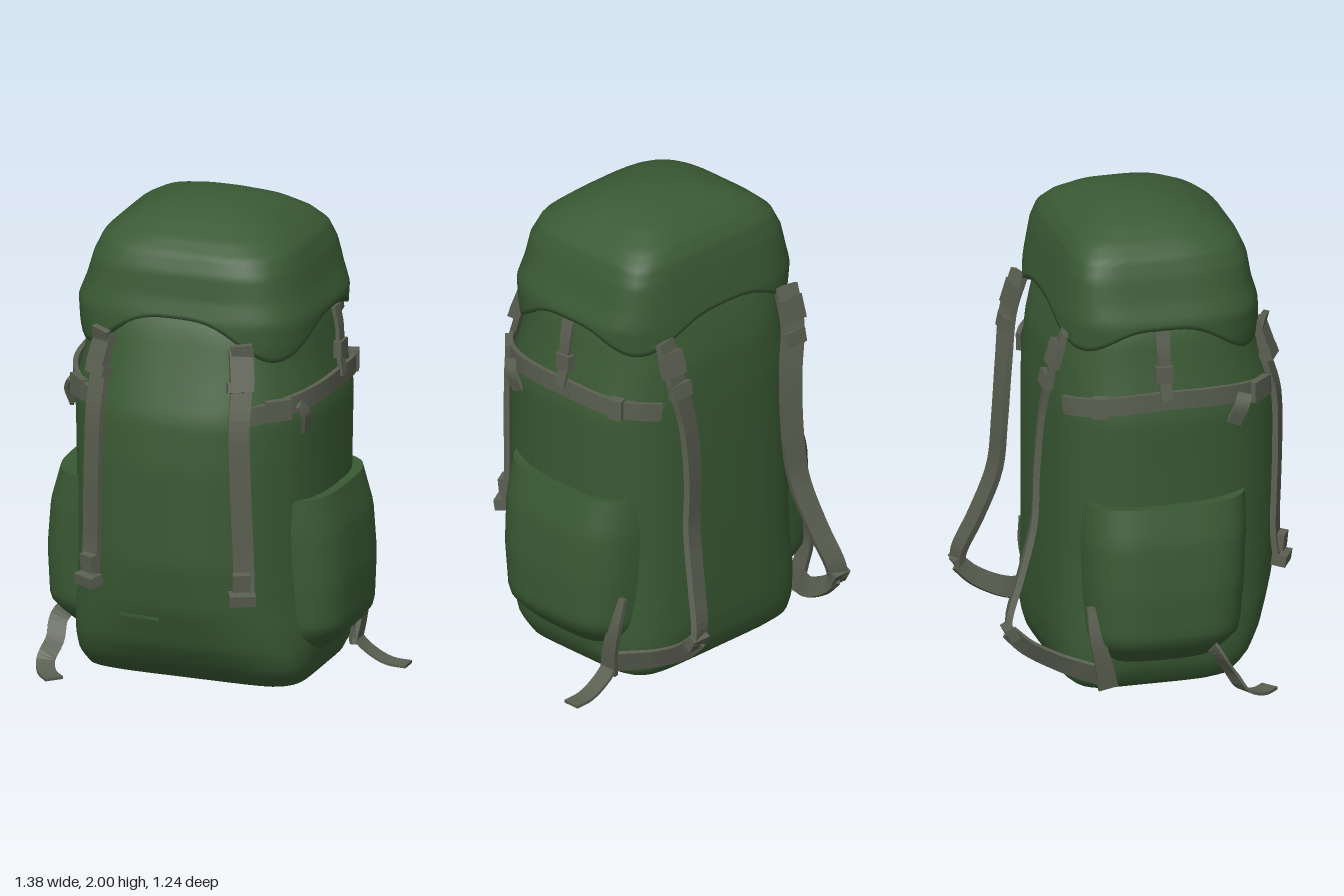
import * as THREE from 'three';

const V = (x, y, z) => new THREE.Vector3(x, y, z);
const CX = -0.04; // the pack sits slightly off the centre line

// Rows: y, half width, front depth, back depth, front squareness, back squareness
const BODY = [
  [0.02, 0.385, 0.24, 0.3, 7, 7],
  [0.05, 0.455, 0.335, 0.345, 6.5, 6],
  [0.12, 0.495, 0.41, 0.37, 5, 4.6],
  [0.22, 0.515, 0.48, 0.383, 3.6, 3.8],
  [0.4, 0.52, 0.55, 0.388, 2.7, 3.2],
  [0.6, 0.525, 0.587, 0.39, 2.4, 3],
  [1.0, 0.53, 0.59, 0.39, 2.4, 3],
  [1.2, 0.535, 0.57, 0.388, 2.5, 3],
  [1.4, 0.49, 0.495, 0.378, 2.7, 3],
  [1.55, 0.46, 0.44, 0.34, 3, 3.4],
  [1.65, 0.4, 0.38, 0.3, 3, 3.4],
];
const LID = [
  [1.4, 0.492, 0.48, 0.382, 3.1, 3.2],
  [1.5, 0.502, 0.482, 0.38, 3.3, 3.4],
  [1.6, 0.503, 0.473, 0.37, 3.6, 3.9],
  [1.68, 0.47, 0.448, 0.355, 3.8, 4.6],
  [1.78, 0.44, 0.432, 0.335, 3.9, 5.4],
  [1.85, 0.41, 0.4, 0.315, 3.8, 5.2],
  [1.9, 0.355, 0.34, 0.28, 3.5, 4.6],
  [1.95, 0.275, 0.25, 0.21, 3, 3.8],
  [1.98, 0.18, 0.16, 0.14, 2.6, 3],
  [1.995, 0.09, 0.08, 0.07, 2.2, 2.4],
  [2.0, 0.001, 0.001, 0.001, 2, 2],
];
const POCKET = [
  [0.18, 0.23, 0.25, 0.24, 3.4, 3],
  [0.23, 0.29, 0.29, 0.28, 3.6, 3.2],
  [0.29, 0.335, 0.33, 0.3, 4, 3.4],
  [0.5, 0.342, 0.348, 0.31, 4, 3.4],
  [0.7, 0.325, 0.362, 0.315, 3.8, 3.4],
  [0.85, 0.285, 0.368, 0.305, 3.4, 3.2],
];

function sample(table, y) {
  let i = 0;
  while (i < table.length - 2 && y > table[i + 1][0]) i++;
  const a = table[i], b = table[i + 1];
  const t = THREE.MathUtils.clamp((y - a[0]) / (b[0] - a[0]), 0, 1);
  return a.map((v, k) => v + (b[k] - v) * t);
}

// Point on a rounded-square cross-section, angle 0 = +x, 90 degrees = front
function surface(table, a, y, out = 0, cx = CX) {
  const [, hx, zf, zb, nf, nb] = sample(table, y);
  const c = Math.cos(a), s = Math.sin(a), n = s > 0 ? nf : nb;
  const r = (Math.abs(c) ** n + Math.abs(s) ** n) ** (-1 / n);
  return V(cx + (hx + out) * c * r, y, ((s > 0 ? zf : zb) + out) * s * r);
}
const frontZ = (x, y) => {
  const [, hx, zf, , n] = sample(BODY, y);
  return zf * (1 - Math.abs((x - CX) / hx) ** n) ** (1 / n);
};

// Closed rings joined upwards, with optional separate end caps
function loft(rows, N, pointAt, capBottom, capTop) {
  const pos = [], idx = [];
  for (let j = 0; j <= rows; j++)
    for (let i = 0; i < N; i++) pos.push(...pointAt((i / N) * Math.PI * 2, j / rows).toArray());
  for (let j = 0; j < rows; j++)
    for (let i = 0; i < N; i++) {
      const k = (i + 1) % N, a = j * N + i, b = j * N + k;
      idx.push(a, a + N, b, b, a + N, b + N);
    }
  for (const [centre, v] of [[capBottom, 0], [capTop, 1]]) {
    if (!centre) continue;
    const o = pos.length / 3;
    pos.push(...centre.toArray());
    for (let i = 0; i < N; i++) pos.push(...pointAt((i / N) * Math.PI * 2, v).toArray());
    for (let i = 0; i < N; i++) {
      const p = o + 1 + i, q = o + 1 + ((i + 1) % N);
      idx.push(...(v ? [o, q, p] : [o, p, q]));
    }
  }
  const g = new THREE.BufferGeometry();
  g.setAttribute('position', new THREE.Float32BufferAttribute(pos, 3));
  g.setIndex(idx);
  g.computeVertexNormals();
  return g;
}

// Flat webbing swept along a curve; "across" is the direction of its width
function webbing(points, across, w, t = 0.016, w2 = w) {
  const curve = new THREE.CatmullRomCurve3(points), n = points.length * 4;
  const pos = [], idx = [];
  for (let i = 0; i <= n; i++) {
    const u = i / n, p = curve.getPoint(u), T = curve.getTangent(u);
    const N = T.clone().cross(across).normalize(), W = N.clone().cross(T);
    const hw = (w + (w2 - w) * u) / 2;
    for (const [a, b] of [[1, -1], [1, 1], [-1, 1], [-1, -1]])
      pos.push(...p.clone().addScaledVector(W, a * hw).addScaledVector(N, b * t / 2).toArray());
  }
  for (let i = 0; i < n; i++)
    for (let k = 0; k < 4; k++) {
      const a = i * 4 + k, b = i * 4 + ((k + 1) % 4);
      idx.push(a, b, a + 4, b, b + 4, a + 4);
    }
  const e = n * 4;
  idx.push(0, 2, 1, 0, 3, 2, e, e + 1, e + 2, e, e + 2, e + 3);
  const g = new THREE.BufferGeometry();
  g.setAttribute('position', new THREE.Float32BufferAttribute(pos, 3));
  g.setIndex(idx);
  const flat = g.toNonIndexed();
  flat.computeVertexNormals();
  return flat;
}

export function createModel() {
  const group = new THREE.Group();
  const fabric = new THREE.MeshStandardMaterial({ color: 0x3a5a34 });
  fabric.name = 'greenFabric';
  const strapMat = new THREE.MeshStandardMaterial({ color: 0x5b5f51 });
  strapMat.name = 'greyWebbing';
  const add = (name, geo, mat = strapMat) => {
    const m = new THREE.Mesh(geo, mat);
    m.name = name;
    group.add(m);
    return m;
  };
  const buckle = (name, size, p, rx = 0, ry = 0) => {
    const m = add(name, new THREE.BoxGeometry(...size));
    m.position.copy(p);
    m.rotation.set(rx, ry, 0, 'YXZ');
  };

  // Main sack
  add('body', loft(48, 80, (a, v) => surface(BODY, a, 0.02 + 1.63 * v ** 1.2),
    V(CX, 0, 0), V(CX, 1.65, 0)), fabric);

  // Lid with a rim that dips at the corners, more so in front, and tucks in underneath
  const rim = a => 1.605 - (Math.sin(a) > 0 ? 0.15 : 0.1) * Math.sin(2 * a) ** 4 - 0.03 * Math.cos(a) ** 2;
  add('lid', loft(40, 96, (a, v) => {
    const r = rim(a);
    if (v === 0) return surface(LID, a, r, -0.06).setY(r + 0.01);
    const f = Math.sin(((v - 0.025) / 0.975) * Math.PI / 2);
    return surface(LID, a, r + (2 - r) * f);
  }), fabric);

  for (const s of [1, -1]) {
    const side = s > 0 ? 'left' : 'right';
    const mx = x => (s > 0 ? x : -0.1 - x); // mirror about the straps' middle

    // Side pocket blending into the sack, with a sunken opening
    const px = -0.05 + s * 0.3;
    add(side + 'Pocket', loft(20, 64, (a, v) => surface(POCKET, a, 0.18 + 0.67 * v, 0, px),
      V(px, 0.17, 0), V(px, 0.8, 0)), fabric);

    // Front strap lying on the slanted front corner, with buckles at both ends
    const fx = y => mx(0.25 + (1.5 - y) * 0.03);
    const fp = (y, out) => V(fx(y), y, frontZ(fx(y), y) + out);
    const tilt = s * 0.5;
    add(side + 'FrontStrap', webbing([V(fx(1.53), 1.53, 0.478), fp(1.46, 0.045), fp(1.36, 0.03),
      ...[1.2, 1.0, 0.8, 0.62].map(y => fp(y, 0.02)), fp(0.47, 0.045)], V(1, 0, -tilt), 0.085, 0.024));
    buckle(side + 'TopFrontBuckle', [0.095, 0.14, 0.035], fp(1.44, 0.05), -0.35, tilt);
    buckle(side + 'TopFrontBar', [0.105, 0.04, 0.05], fp(1.36, 0.045), -0.35, tilt);
    buckle(side + 'LowerFrontBuckle', [0.105, 0.045, 0.06], fp(0.49, 0.055), 0.15, tilt);
    buckle(side + 'LowerFrontSlider', [0.07, 0.07, 0.035], fp(0.56, 0.05), 0.1, tilt);

    // Compression strap round the side
    const around = (t, out) => {
      const a = s > 0 ? t : Math.PI - t;
      return surface(BODY, a, 1.285 - 0.05 * t * t, out);
    };
    const band = [];
    for (let t = -0.95; t <= 1.12; t += 0.1) band.push(around(t, 0.014));
    add(side + 'CompressionStrap', webbing(band, V(0, 1, 0), 0.075, 0.02));
    buckle(side + 'CompressionBuckle', [0.11, 0.085, 0.03], around(0.76, 0.022), 0, s * 0.8);
    buckle(side + 'CompressionSlider', [0.04, 0.085, 0.06], around(-0.6, 0.018), 0, s * 0.3);
    const e = around(0.6, 0.03);
    add(side + 'CompressionTail', webbing([e, e.clone().add(V(s * 0.02, -0.05, -0.02)),
      e.clone().add(V(s * 0.01, -0.12, -0.05))], V(0, 0, 1), 0.06));

    // Short strap joining lid and compression strap
    add(side + 'LidSideStrap', webbing([V(CX + s * 0.508, 1.575, 0), V(CX + s * 0.525, 1.49, 0),
      V(CX + s * 0.53, 1.38, 0.005), V(CX + s * 0.545, 1.29, 0.01)], V(0, 0, 1), 0.06, 0.016, 0.045));
    buckle(side + 'LidSideBuckle', [0.035, 0.07, 0.07], V(CX + s * 0.53, 1.4, 0));

    // Shoulder strap: padded part, lower webbing and buckles
    add(side + 'ShoulderStrap', webbing([[0.29, 1.55, -0.36], [0.28, 1.4, -0.41], [0.24, 1.2, -0.44],
      [0.23, 0.95, -0.46], [0.25, 0.74, -0.475], [0.29, 0.53, -0.54], [0.33, 0.37, -0.6],
      [0.345, 0.3, -0.605]].map(([x, y, z]) => V(mx(x), y, z)), V(1, 0, s * -0.25), 0.1, 0.026, 0.08));
    add(side + 'LowerShoulderStrap', webbing([[0.345, 0.31, -0.605], [0.355, 0.24, -0.53],
      [0.38, 0.17, -0.4], [0.43, 0.14, -0.3], [0.47, 0.12, -0.22]].map(([x, y, z]) => V(mx(x), y, z)),
      V(s * 0.5, 0.8, 0.3), 0.07, 0.016, 0.1));
    buckle(side + 'ShoulderTopBuckle', [0.11, 0.1, 0.035], V(mx(0.285), 1.46, -0.4), 0.3);
    buckle(side + 'ShoulderSlider', [0.1, 0.06, 0.035], V(mx(0.27), 1.35, -0.43), 0.2);
    buckle(side + 'ShoulderLowerBuckle', [0.085, 0.06, 0.04], V(mx(0.345), 0.31, -0.6), -0.5);
    add(side + 'LowerAnchor', webbing([V(mx(0.46), 0.43, -0.29), V(mx(0.49), 0.3, -0.28),
      V(mx(0.485), 0.18, -0.25), V(mx(0.47), 0.08, -0.23)], V(0, 0, 1), 0.05, 0.02, 0.08));
  }

  // Loose strap ends reaching the ground
  add('leftLooseEnd', webbing([V(0.46, 0.16, -0.235), V(0.48, 0.1, -0.235), V(0.54, 0.05, -0.235),
    V(0.61, 0.02, -0.235), V(0.69, 0.015, -0.235)], V(0, 0, 1), 0.075, 0.012));
  add('rightLooseEnd', webbing([V(-0.57, 0.27, 0.16), V(-0.63, 0.2, 0.21), V(-0.63, 0.12, 0.26),
    V(-0.65, 0.05, 0.31), V(-0.62, 0.02, 0.38), V(-0.565, 0.015, 0.44)], V(1, 0, -0.5), 0.075, 0.012));

  // Stitched seam low on the front
  add('frontSeam', webbing([-0.25, -0.17, -0.08].map(x => V(x, 0.355, frontZ(x, 0.355) + 0.002)),
    V(0, 1, 0), 0.012, 0.008), fabric);
  return group;
}
